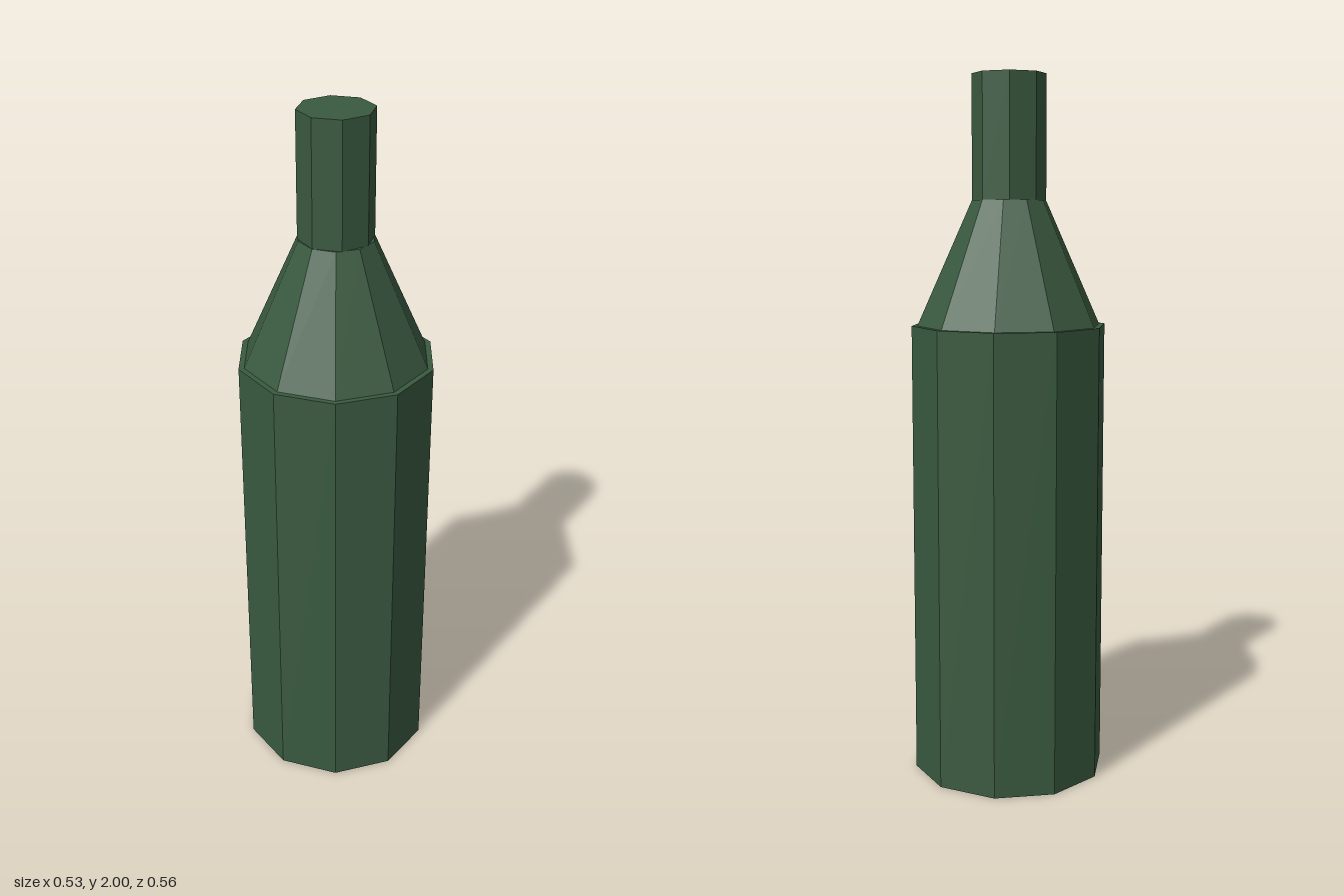
import * as THREE from 'three';

export function createModel() {
  const group = new THREE.Group();
  const green = new THREE.MeshStandardMaterial({ color: 0x3a5a40, flatShading: true });
  green.name = 'bottle green';

  // Faceted section between two heights
  const section = (name, rTop, rBottom, y0, y1, sides) => {
    const mesh = new THREE.Mesh(
      new THREE.CylinderGeometry(rTop, rBottom, y1 - y0, sides), green);
    mesh.name = name;
    mesh.position.y = (y0 + y1) / 2;
    group.add(mesh);
  };

  section('body', 0.278, 0.278, 0, 1.305, 10);
  section('shoulder', 0.105, 0.262, 1.305, 1.655, 10);
  section('neck', 0.104, 0.104, 1.655, 2, 8);

  return group;
}
